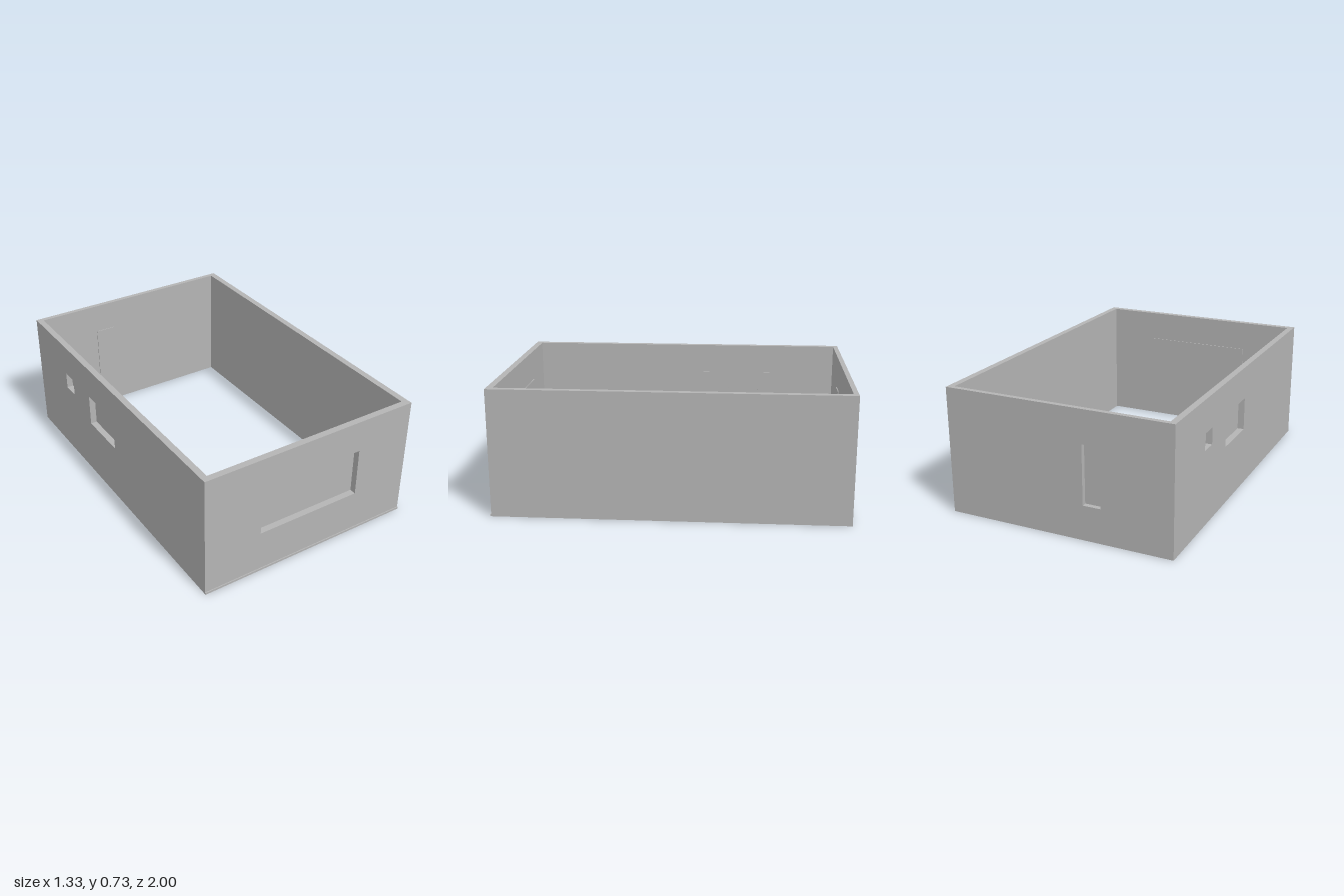
import * as THREE from 'three';

const HEIGHT = 0.73;
const HALF_X = 0.663, INNER_X = 0.626;
const BACK = -1, INNER_BACK = -0.972, INNER_FRONT = 0.956, FRONT = 0.994;
const OVERLAP = 0.01; // how far a panel laps over its opening

export function createModel() {
  const model = new THREE.Group();
  const plaster = new THREE.MeshStandardMaterial({ color: 0xb4b4b4 });
  plaster.name = 'grey plaster';

  const add = (name, geometry, parent = model) => {
    const mesh = new THREE.Mesh(geometry, plaster);
    mesh.name = name;
    parent.add(mesh);
    return mesh;
  };

  // Upright slab from u0 to u1, near to far in depth; openings are [u0, u1, y0, y1]
  const addWall = (name, u0, u1, near, far, openings = [], inner = near, inward = -1, panelDepth = 0.005) => {
    const group = new THREE.Group();
    group.name = name;
    const shape = new THREE.Shape([
      new THREE.Vector2(u0, 0), new THREE.Vector2(u1, 0),
      new THREE.Vector2(u1, HEIGHT), new THREE.Vector2(u0, HEIGHT),
    ]);
    for (const [a, b, c, d] of openings) {
      shape.holes.push(new THREE.Path([
        new THREE.Vector2(a, c), new THREE.Vector2(a, d),
        new THREE.Vector2(b, d), new THREE.Vector2(b, c),
      ]));
      // thin panel closing the opening on the room side
      const panel = new THREE.BoxGeometry(b - a + 2 * OVERLAP, d - c + 2 * OVERLAP, panelDepth);
      panel.translate((a + b) / 2, (c + d) / 2, inner + inward * panelDepth / 2);
      add(name + 'Panel', panel, group);
    }
    const slab = new THREE.ExtrudeGeometry(shape, { depth: far - near, bevelEnabled: false });
    slab.translate(0, 0, near);
    add(name + 'Slab', slab, group);
    model.add(group);
    return group;
  };

  // Front wall with a wide window, back wall with a narrow tall one
  addWall('frontWall', -HALF_X, HALF_X, INNER_FRONT, FRONT, [[-0.318, 0.318, 0.253, 0.54]]);
  addWall('backWall', -HALF_X, HALF_X, BACK, INNER_BACK, [[-0.255, -0.151, 0.2, 0.54]], INNER_BACK, 1);

  // Side walls: local x runs along z, local depth runs towards -x
  const sides = [
    addWall('rightWall', INNER_BACK, INNER_FRONT, INNER_X, HALF_X,
      [[-0.597, -0.494, 0.443, 0.54], [-0.284, 0.024, 0.35, 0.54]], INNER_X, -1, 0.003),
    addWall('leftWall', INNER_BACK, INNER_FRONT, -HALF_X, -INNER_X),
  ];
  for (const side of sides) side.rotation.y = -Math.PI / 2;

  // Low ledge along the foot of the front wall
  const ledge = new THREE.BoxGeometry(2 * HALF_X, 0.012, 1 - FRONT);
  ledge.translate(0, 0.006, (1 + FRONT) / 2);
  add('frontLedge', ledge);

  return model;
}
